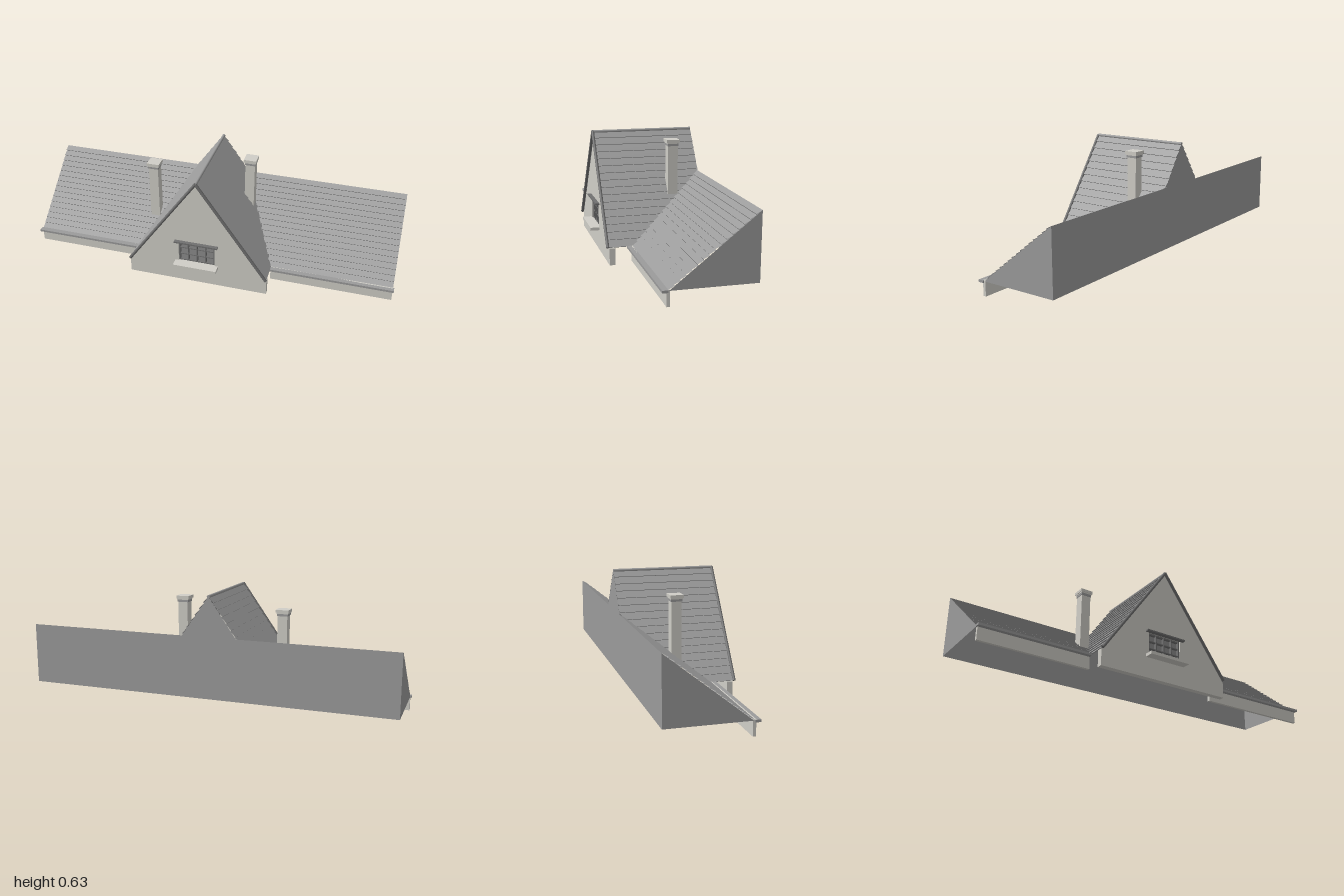
import * as THREE from 'three';

const mat = (name, color, side = THREE.FrontSide) => {
  const m = new THREE.MeshStandardMaterial({ color, side });
  m.name = name;
  return m;
};

// Main dimensions
const EAVE = 0.09, MAIN_RIDGE = 0.415, GABLE_RIDGE = 0.622;
const FRONT = 0.122, BACK = -0.288, END = 0.994;
const CX = -0.03, HALF = 0.375, GABLE_FRONT = 0.25;
const mainZ = y => FRONT + (BACK - FRONT) * (y - EAVE) / (MAIN_RIDGE - EAVE);
const gableX = y => HALF * (1 - (y - EAVE) / (GABLE_RIDGE - EAVE));

export function createModel() {
  const model = new THREE.Group();
  model.name = 'gabledRoof';
  const plaster = mat('plaster', 0xd0cec7);
  const tile = mat('roofTile', 0x9b9b9b, THREE.DoubleSide);
  const trim = mat('darkTrim', 0x707070);
  const glass = mat('windowPane', 0x8c8c8c);

  const add = (name, geo, material, parent = model) => {
    const m = new THREE.Mesh(geo, material);
    m.name = name;
    parent.add(m);
    return m;
  };
  // Box given by its limits on each axis
  const box = (name, x0, x1, y0, y1, z0, z1, material, parent) => {
    const m = add(name, new THREE.BoxGeometry(x1 - x0, y1 - y0, z1 - z0), material, parent);
    m.position.set((x0 + x1) / 2, (y0 + y1) / 2, (z0 + z1) / 2);
    return m;
  };
  const rod = (name, a, b, r, material) => {
    const d = b.clone().sub(a);
    const m = add(name, new THREE.CylinderGeometry(r, r, d.length(), 12), material);
    m.position.copy(a).addScaledVector(d, 0.5);
    m.quaternion.setFromUnitVectors(new THREE.Vector3(0, 1, 0), d.normalize());
  };

  // Overlapping tile courses: each has a small butt face and a sloping face.
  // edge(y) returns the two end points of a course line; up is the roof normal.
  const courses = (name, rows, top, edge, up, flip) => {
    const pos = [];
    const quad = (a, b, c, d) => {
      const tri = flip ? [a, c, b, a, d, c] : [a, b, c, a, c, d];
      for (const p of tri) pos.push(p.x, p.y, p.z);
    };
    for (let i = 0; i < rows; i++) {
      const low = edge(EAVE + (top - EAVE) * i / rows);
      const high = edge(EAVE + (top - EAVE) * (i + 1) / rows);
      const lip = low.map(p => p.clone().addScaledVector(up, 0.006));
      quad(low[0], low[1], lip[1], lip[0]);
      quad(lip[0], lip[1], high[1], high[0]);
    }
    const geo = new THREE.BufferGeometry();
    geo.setAttribute('position', new THREE.Float32BufferAttribute(pos, 3));
    geo.computeVertexNormals();
    add(name, geo, tile);
  };
  const V = (x, y, z) => new THREE.Vector3(x, y, z);

  for (const s of [-1, 1]) {
    const side = s > 0 ? 'left' : 'right';
    // Main roof wing, trimmed along the valley
    courses(side + 'MainRoof', 16, MAIN_RIDGE,
      y => [V(CX + s * (gableX(y) - 0.006), y, mainZ(y)), V(s * END, y, mainZ(y))],
      V(0, FRONT - BACK, MAIN_RIDGE - EAVE).normalize(), s < 0);
    // Cross gable slope, trimmed along the same valley
    courses(side + 'GableRoof', 16, GABLE_RIDGE,
      y => [V(CX + s * gableX(y), y, GABLE_FRONT),
        V(CX + s * gableX(y), y, Math.max(BACK, mainZ(y) - 0.006))],
      V(s * (GABLE_RIDGE - EAVE), HALF, 0).normalize(), s < 0);
    // Round verge along the front edge of the gable
    rod(side + 'Verge', V(CX + s * (HALF + 0.003), EAVE + 0.002, 0.252),
      V(CX, GABLE_RIDGE + 0.002, 0.252), 0.008, trim);
    // Triangular end of the main roof
    const tri = new THREE.Shape([
      new THREE.Vector2(-FRONT, EAVE), new THREE.Vector2(-BACK, EAVE),
      new THREE.Vector2(-BACK, MAIN_RIDGE)]);
    const end = add(side + 'RoofEnd', new THREE.ShapeGeometry(tri), tile);
    end.rotation.y = Math.PI / 2;
    end.position.x = s * END;
    // Low front wall and gutter
    const inner = CX + s * 0.378, outer = s * END;
    const x0 = Math.min(inner, outer), x1 = Math.max(inner, outer);
    box(side + 'FrontWall', x0, x1, 0.018, 0.095, 0.117, 0.132, plaster);
    box(side + 'Gutter', Math.min(inner, s), Math.max(inner, s), 0.083, 0.095, 0.125, 0.153, tile);
  }

  // Upright back face following both roofs
  const cut = gableX(MAIN_RIDGE);
  const backShape = new THREE.Shape([
    [-END, EAVE], [END, EAVE], [END, MAIN_RIDGE], [CX + cut, MAIN_RIDGE],
    [CX, GABLE_RIDGE], [CX - cut, MAIN_RIDGE], [-END, MAIN_RIDGE],
  ].map(p => new THREE.Vector2(...p)));
  add('backFace', new THREE.ShapeGeometry(backShape), tile).position.z = BACK;
  rod('ridgeCap', V(CX, GABLE_RIDGE, GABLE_FRONT), V(CX, GABLE_RIDGE, BACK), 0.008, tile);

  // Gable wall with a window opening
  const W = { x0: -0.131, x1: 0.067, y0: 0.123, y1: 0.25 };
  const wall = new THREE.Shape([
    [CX - 0.38, 0], [CX + 0.38, 0], [CX + 0.38, 0.088], [CX + HALF, EAVE],
    [CX, GABLE_RIDGE - 0.002], [CX - HALF, EAVE], [CX - 0.38, 0.088],
  ].map(p => new THREE.Vector2(...p)));
  wall.holes.push(new THREE.Path([
    [W.x0, W.y0], [W.x0, W.y1], [W.x1, W.y1], [W.x1, W.y0],
  ].map(p => new THREE.Vector2(...p))));
  add('gableWall', new THREE.ExtrudeGeometry(wall, { depth: 0.03, bevelEnabled: false }),
    plaster).position.z = 0.213;

  // Window: pane, bars, lintel and sill
  const win = new THREE.Group();
  win.name = 'window';
  model.add(win);
  box('pane', W.x0, W.x1, W.y0, W.y1, 0.214, 0.22, glass, win);
  for (let i = 0; i <= 4; i++) {
    const x = W.x0 + 0.004 + (W.x1 - W.x0 - 0.008) * i / 4;
    const r = i % 4 ? 0.0025 : 0.004;
    box('uprightBar', x - r, x + r, W.y0, W.y1, 0.22, 0.236, trim, win);
  }
  for (let i = 0; i <= 3; i++) {
    const y = W.y0 + 0.004 + (W.y1 - W.y0 - 0.008) * i / 3;
    const r = i % 3 ? 0.0025 : 0.004;
    box('crossBar', W.x0, W.x1, y - r, y + r, 0.22, 0.234, trim, win);
  }
  box('lintel', -0.15, 0.086, 0.249, 0.257, 0.24, 0.263, trim, win);
  box('sill', -0.15, 0.086, 0.11, 0.126, 0.235, 0.291, plaster, win);

  // Chimneys: shaft, dark neck, collar and cap
  const chimney = (name, x, z, bottom, top) => {
    const g = new THREE.Group();
    g.name = name;
    model.add(g);
    const layer = (part, r, y0, y1, m) => box(part, x - r, x + r, y0, y1, z - r, z + r, m, g);
    layer('shaft', 0.026, bottom, top - 0.033, plaster);
    layer('neck', 0.029, top - 0.033, top - 0.021, tile);
    layer('collar', 0.031, top - 0.021, top - 0.015, plaster);
    layer('cap', 0.034, top - 0.015, top, plaster);
  };
  chimney('leftChimney', 0.166, -0.128, 0.27, 0.598);
  chimney('rightChimney', -0.353, -0.045, 0.18, 0.54);

  return model;
}
